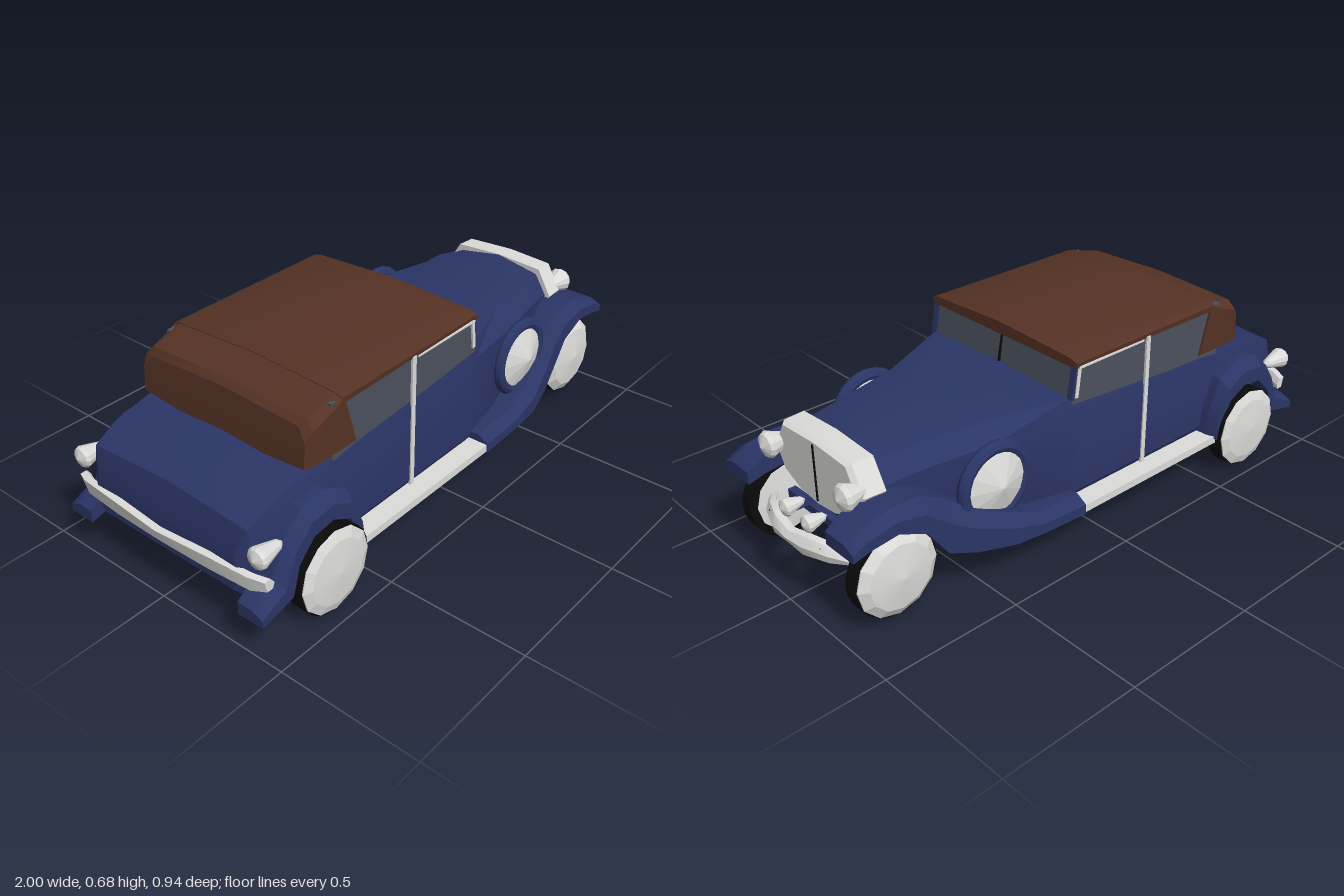
import * as THREE from 'three';
import { toCreasedNormals } from 'three/addons/utils/BufferGeometryUtils.js';

const mat = (name, color) => {
  const m = new THREE.MeshStandardMaterial({ color });
  m.name = name;
  return m;
};

export function createModel() {
  const car = new THREE.Group();
  car.name = 'vintageConvertible';
  const blue = mat('navyPaint', 0x2b3566);
  const brown = mat('brownCanvas', 0x553224);
  const chrome = mat('chrome', 0xdcdcda);
  const glass = mat('darkGlass', 0x4a505c);
  const black = mat('blackRubber', 0x0a0a0a);

  const add = (name, geo, material, x = 0, y = 0, z = 0, crease = 0.45) => {
    const mesh = new THREE.Mesh(toCreasedNormals(geo, crease), material);
    mesh.name = name;
    mesh.position.set(x, y, z);
    car.add(mesh);
    return mesh;
  };
  const box = (name, w, h, d, material, x, y, z) =>
    add(name, new THREE.BoxGeometry(w, h, d), material, x, y, z);

  // Joins equal closed rings of [x, y, z] points and caps both ends, faces outward
  function loft(rings) {
    const n = rings[0].length, pos = rings.flat(2), idx = [];
    for (let r = 0; r < rings.length - 1; r++) {
      for (let i = 0; i < n; i++) {
        const a = r * n + i, b = r * n + (i + 1) % n;
        idx.push(a, b, b + n, a, b + n, a + n);
      }
    }
    [[rings[0], 0, true], [rings.at(-1), (rings.length - 1) * n, false]].forEach(([ring, base, first]) => {
      const c = pos.length / 3;
      for (let k = 0; k < 3; k++) pos.push(ring.reduce((s, p) => s + p[k], 0) / n);
      for (let i = 0; i < n; i++) {
        const a = base + i, b = base + (i + 1) % n;
        idx.push(...(first ? [c, b, a] : [c, a, b]));
      }
    });
    const v = (i) => new THREE.Vector3(pos[i * 3], pos[i * 3 + 1], pos[i * 3 + 2]);
    let volume = 0;
    for (let i = 0; i < idx.length; i += 3) {
      volume += v(idx[i]).dot(v(idx[i + 1]).cross(v(idx[i + 2])));
    }
    if (volume < 0) idx.reverse();
    const geo = new THREE.BufferGeometry();
    geo.setAttribute('position', new THREE.Float32BufferAttribute(pos, 3));
    geo.setIndex(idx);
    return geo;
  }
  // Half outline from bottom centre to top centre, mirrored across z = 0
  const mirror = (half) => [...half, ...half.slice(1, -1).reverse().map(([x, y, z]) => [x, y, -z])];

  // Body and bonnet: x, half width, bottom, shoulder, top edge, crown
  const body = [
    [-0.97, 0.31, 0.17, 0.25, 0.30, 0.01], [-0.94, 0.345, 0.14, 0.32, 0.39, 0.02],
    [-0.85, 0.355, 0.13, 0.37, 0.43, 0.015], [-0.71, 0.358, 0.13, 0.42, 0.46, 0.015],
    [-0.5, 0.358, 0.13, 0.45, 0.485, 0], [0.1, 0.356, 0.13, 0.48, 0.525, 0.005],
    [0.13, 0.353, 0.13, 0.48, 0.53, 0.012], [0.4, 0.305, 0.15, 0.46, 0.51, 0.025],
    [0.66, 0.245, 0.19, 0.44, 0.5, 0.03], [0.79, 0.215, 0.25, 0.42, 0.495, 0.03],
  ].map(([x, w, b, s, t, c]) => mirror([
    [x, b, 0], [x, b, w * 0.93], [x, b + 0.05, w], [x, s, w],
    [x, t, w * (x > 0.13 ? 0.78 : 0.96)], [x, t + c, 0],
  ]));
  add('body', loft(body), blue);

  // Radiator shell and its centre bar
  const radiator = [[0.775, 1.02], [0.85, 1], [0.865, 0.93]].map(([x, k]) => mirror(
    [[0.29, 0], [0.3, 0.1], [0.34, 0.19], [0.42, 0.235], [0.515, 0.18], [0.525, 0]]
      .map(([y, z]) => [x, 0.41 + (y - 0.41) * k, z * k])));
  add('radiator', loft(radiator), chrome);
  box('radiatorBar', 0.006, 0.2, 0.006, black, 0.866, 0.41, 0);

  // Glasshouse with windscreen
  const cabin = [[-0.6, -0.6, 0.47], [0.122, 0.1, 0.53]].map(([xb, xt, b]) =>
    mirror([[xb, b - 0.02, 0], [xb, b - 0.02, 0.352], [xt, 0.65, 0.35], [xt, 0.65, 0]]));
  add('windows', loft(cabin), glass);
  box('windscreenDivider', 0.008, 0.105, 0.006, black, 0.112, 0.59, 0).rotation.z = 0.18;

  // Canvas top: long flat part, then the folded rear quarter
  const roof = [[0.112, 0.635, 0], [0.09, 0.642, 0.003], [-0.56, 0.635, 0]].map(([x, b, c]) => mirror(
    [[x, b, 0], [x, b, 0.358], [x, 0.655, 0.36], [x, 0.665 + c, 0.33], [x, 0.679 + c, 0]]));
  add('roof', loft(roof), brown);
  const rear = [
    [-0.5, -0.55, -0.55, 0.655, 0.665, 0.679, 0.36],
    [-0.6, -0.6, -0.6, 0.63, 0.65, 0.666, 0.36],
    [-0.69, -0.685, -0.68, 0.6, 0.632, 0.645, 0.357],
    [-0.715, -0.71, -0.7, 0.57, 0.61, 0.625, 0.345],
  ].map(([xb, xm, xt, s, t, c, w]) => mirror(
    [[xb, 0.45, 0], [xb, 0.48, w], [xm, s, w], [xt, t, w - 0.03], [xt, c, 0]]));
  add('roofRear', loft(rear), brown);

  // Front fender: x, top, bottom, inner z, outer z
  const frontFender = [
    [0.12, 0.19, 0.13, 0.32, 0.425], [0.3, 0.2, 0.14, 0.29, 0.425], [0.42, 0.25, 0.15, 0.27, 0.42],
    [0.55, 0.31, 0.165, 0.24, 0.385], [0.64, 0.375, 0.19, 0.22, 0.357], [0.72, 0.412, 0.3, 0.21, 0.355],
    [0.82, 0.415, 0.345, 0.21, 0.355], [0.92, 0.395, 0.335, 0.21, 0.355], [0.98, 0.36, 0.315, 0.215, 0.35],
  ].map(([x, t, b, i, o]) => [x, t, x, b, i, o]);
  // Rear fender: outer x and y, inner x and y, inner z, outer z
  const rearFender = [
    [-0.53, 0.16, -0.56, 0.14], [-0.545, 0.27, -0.57, 0.2], [-0.59, 0.37, -0.61, 0.285],
    [-0.68, 0.415, -0.685, 0.325], [-0.78, 0.405, -0.77, 0.315], [-0.86, 0.335, -0.835, 0.25],
    [-0.91, 0.225, -0.865, 0.15], [-0.995, 0.165, -0.995, 0.12],
  ].map((p) => [...p, 0.33, 0.43]);
  const fender = (sections, s) => loft(sections.map(([xt, yt, xb, yb, i, o]) => [
    [xt, yt, s * i], [xt, yt, s * (o - 0.04)],
    [xt + (xb - xt) * 0.4, yt + (yb - yt) * 0.4, s * o], [xb, yb, s * o], [xb, yb, s * i],
  ]));

  // Round shape turned about an axis; profile is [radius, offset] pairs
  const lathe = (pts, segments) =>
    new THREE.LatheGeometry(pts.map(([r, o]) => new THREE.Vector2(r, o)), segments);

  function wheel(name, x, y, z, s, width, cap) {
    const tyre = new THREE.CylinderGeometry(0.15, 0.15, width, 24).rotateX(Math.PI / 2);
    add(name + 'Tyre', tyre, black, x, y, z * s);
    const h = width / 2;
    const cover = lathe([[0, h - 0.005], [0.147, h - 0.005], [0.147, h + 0.004],
      [0.115, h + cap * 0.6], [0, h + cap]], 12).rotateX(s * Math.PI / 2);
    add(name + 'Cover', cover, chrome, x, y, z * s, 0.1);
    const inner = lathe([[0, -h - 0.015], [0.125, -h - 0.002], [0.125, -h + 0.005]], 12)
      .rotateX(s * Math.PI / 2);
    add(name + 'InnerCover', inner, chrome, x, y, z * s, 0.1);
  }
  const lamp = (name, r, length, x, y, z, dir) => add(name,
    lathe([[0, -length], [r * 0.45, -length * 0.8], [r, 0], [r * 0.85, r * 0.3], [0, r * 0.65]], 12)
      .rotateZ(-dir * Math.PI / 2), chrome, x, y, z, 0.1);

  for (const s of [1, -1]) {
    const side = s > 0 ? 'right' : 'left';
    add(side + 'FrontFender', fender(frontFender, s), blue);
    add(side + 'RearFender', fender(rearFender, s), blue);
    wheel(side + 'FrontWheel', 0.81, 0.18, 0.29, s, 0.052, 0.04);
    wheel(side + 'RearWheel', -0.7, 0.152, 0.417, s, 0.054, 0.026);

    // Spare wheel sunk in the front fender
    add(side + 'SpareTyre', new THREE.TorusGeometry(0.124, 0.022, 8, 24), blue, 0.435, 0.345, s * 0.33);
    add(side + 'SpareCover', lathe([[0, -0.05], [0.112, -0.015], [0.112, 0.015], [0, 0.05]], 12)
      .rotateX(Math.PI / 2), chrome, 0.435, 0.345, s * 0.33, 0.1);

    // Running board, door strip, windscreen post and window trim
    box(side + 'RunningBoard', 0.67, 0.028, 0.08, chrome, -0.215, 0.148, s * 0.382);
    box(side + 'DoorStrip', 0.018, 0.49, 0.008, chrome, -0.222, 0.4, s * 0.358);
    box(side + 'WindscreenPost', 0.014, 0.12, 0.012, chrome, 0.1, 0.592, s * 0.352).rotation.z = 0.12;
    box(side + 'FrontPillar', 0.012, 0.12, 0.024, blue, 0.111, 0.585, s * 0.343).rotation.z = 0.18;
    box(side + 'WindowTrim', 0.3, 0.006, 0.006, chrome, -0.05, 0.636, s * 0.358);

    // Lamps
    lamp(side + 'Headlamp', 0.046, 0.08, 0.9, 0.435, s * 0.205, 1);
    lamp(side + 'FogLamp', 0.031, 0.07, 0.945, 0.292, s * 0.06, 1);
    lamp(side + 'TailLamp', 0.038, 0.1, -0.955, 0.33, s * 0.385, -1);
  }

  // Bumpers: z, x, centre height, half height
  const bumper = (pts) => loft([...pts.slice(1).reverse().map(([z, ...p]) => [-z, ...p]), ...pts]
    .map(([z, x, y, h]) => [[x - 0.02, y - h, z], [x + 0.003, y - h, z],
      [x + 0.01, y, z], [x - 0.005, y + h, z], [x - 0.03, y + h, z]]));
  add('frontBumper', bumper([[0, 0.985, 0.235, 0.018], [0.08, 0.98, 0.238, 0.032],
    [0.17, 0.945, 0.232, 0.026], [0.24, 0.895, 0.22, 0.012]]), chrome);
  add('rearBumper', bumper([[0, -0.975, 0.24, 0.02], [0.2, -0.965, 0.24, 0.028],
    [0.36, -0.95, 0.235, 0.028], [0.41, -0.93, 0.235, 0.02]]), chrome);

  // Axle and bumper irons
  box('frontAxle', 0.03, 0.03, 0.54, blue, 0.81, 0.2, 0);
  for (const s of [1, -1]) box('bumperIron', 0.32, 0.03, 0.025, blue, 0.8, 0.235, s * 0.13);
  return car;
}
